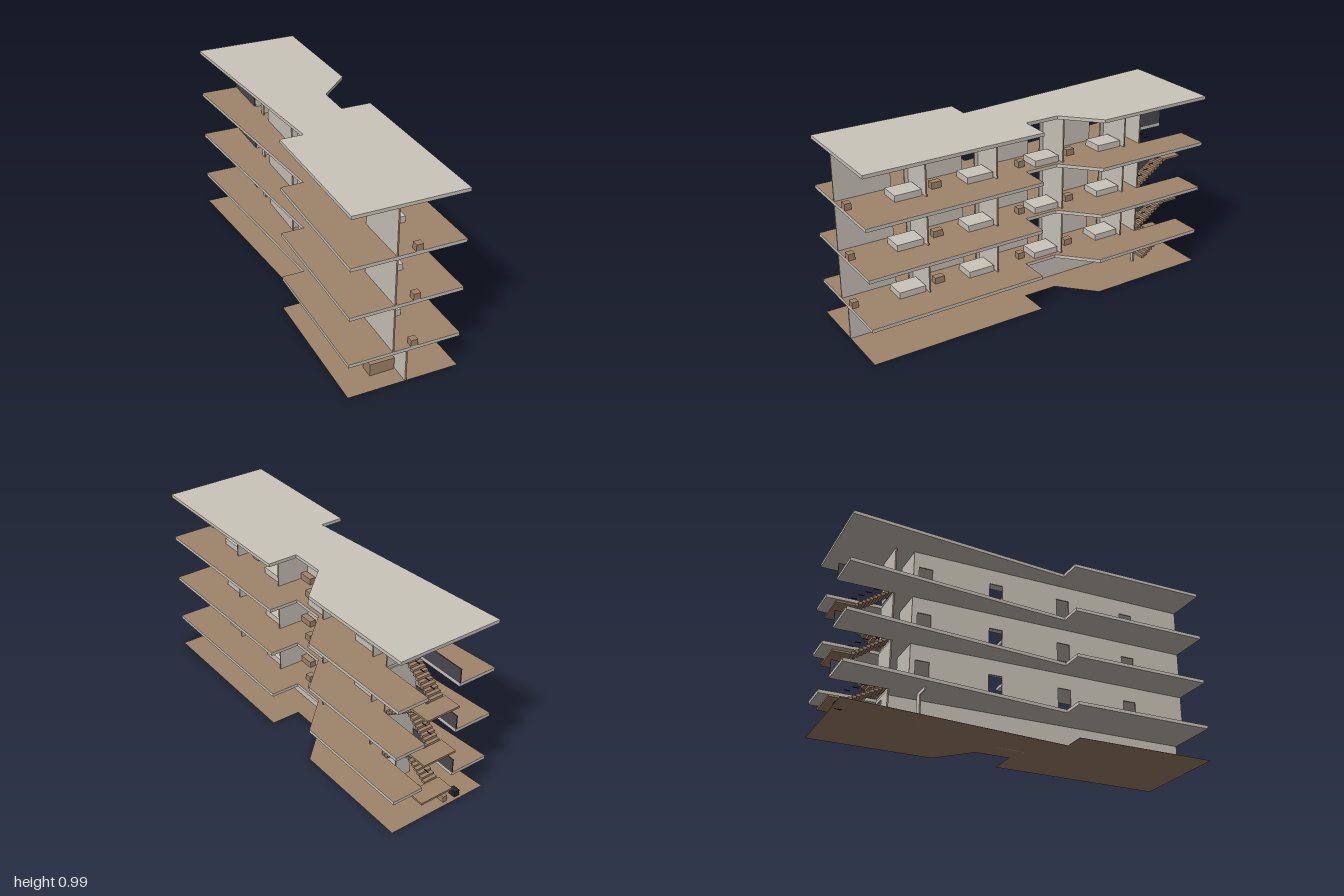
import * as THREE from 'three';

const mat = (name, color) => {
  const m = new THREE.MeshStandardMaterial({ color });
  m.name = name;
  return m;
};

export function createModel() {
  const root = new THREE.Group();
  root.name = 'apartmentBlock';
  const concrete = mat('concrete', 0xcbc5bb);
  const wood = mat('wood', 0xa0846a);
  const panel = mat('darkPanel', 0x4b4a50);
  const metal = mat('blackMetal', 0x25252a);

  // Box given by its limits on each axis
  const box = (parent, name, material, x0, x1, y0, y1, z0, z1) => {
    const mesh = new THREE.Mesh(new THREE.BoxGeometry(x1 - x0, y1 - y0, z1 - z0), material);
    mesh.position.set((x0 + x1) / 2, (y0 + y1) / 2, (z0 + z1) / 2);
    mesh.name = name;
    parent.add(mesh);
    return mesh;
  };
  const alongZ = [concrete, concrete, concrete, concrete, wood, wood]; // wooden end faces
  const alongX = [wood, wood, concrete, concrete, concrete, concrete];

  // Floor plan outline as [x, z]; floors have a stairwell cut into the back edge
  const plan = [[-0.3, 1], [0.29, 1], [0.283, 0.03], [0.12, 0.03], [0.12, -0.16], [0.298, -0.33], [0.292, -1]];
  const stairwell = [[0.12, -1], [0.12, -0.7], [-0.068, -0.7], [-0.068, -1]];
  const planEnd = [[-0.285, -1], [-0.175, 0.22], [-0.3, 0.22]];
  const makeShape = (cut) =>
    new THREE.Shape([...plan, ...(cut ? stairwell : []), ...planEnd].map(([x, z]) => new THREE.Vector2(x, -z)));
  const slab = (name, material, y, depth, cut) => {
    const geo = new THREE.ExtrudeGeometry(makeShape(cut), { depth, bevelEnabled: false });
    geo.rotateX(-Math.PI / 2);
    const mesh = new THREE.Mesh(geo, material);
    mesh.position.y = y;
    mesh.name = name;
    root.add(mesh);
  };

  const T = 0.018; // slab thickness
  const bottoms = [0.178, 0.443, 0.708, 0.972];
  slab('groundFloor', wood, 0, 0.001, false);
  bottoms.forEach((y, i) => {
    const isRoof = i === 3;
    slab(isRoof ? 'roofSlab' : 'floorSlab', concrete, y, T, !isRoof);
    if (isRoof) return;
    const geo = new THREE.ShapeGeometry(makeShape(true));
    geo.rotateX(-Math.PI / 2);
    const cover = new THREE.Mesh(geo, wood);
    cover.position.y = y + T + 0.001;
    cover.name = 'floorCovering';
    root.add(cover);
  });

  // Ground storey walls
  const G = 0.178;
  const DOOR = 0.161;
  const ground = new THREE.Group();
  ground.name = 'groundStorey';
  root.add(ground);
  box(ground, 'spineWall', alongZ, 0.001, 0.01, 0, G, -0.7, 1);
  box(ground, 'stairWall', alongX, -0.06, 0.032, 0, G, -0.706, -0.698);
  box(ground, 'stairWall', alongX, 0.102, 0.12, 0, G, -0.706, -0.698);
  box(ground, 'doorLintel', concrete, 0.032, 0.102, DOOR, G, -0.706, -0.698);
  box(ground, 'sideWall', alongX, -0.11, -0.07, 0, G, -0.558, -0.55);
  box(ground, 'doorLintel', concrete, -0.175, -0.11, DOOR, G, -0.558, -0.55);
  box(ground, 'receptionDesk', wood, -0.135, -0.003, 0, 0.067, 0.83, 0.9);
  box(ground, 'darkCrate', metal, -0.147, -0.115, 0, 0.034, -0.985, -0.945);
  box(ground, 'woodenCrate', wood, -0.07, -0.045, 0, 0.035, -0.98, -0.94);

  // Small furniture as [x centre, z0, z1]
  const boxes = [
    [0.043, 0.965, 1], [-0.038, 0.562, 0.598], [0.043, 0.485, 0.54], [-0.038, 0.112, 0.195],
    [0.043, 0, 0.038], [-0.038, -0.24, -0.204], [0.043, -0.31, -0.262],
  ];
  // Repeated upper storeys
  for (let i = 0; i < 3; i++) {
    const y = bottoms[i] + T;
    const top = bottoms[i + 1];
    const storey = new THREE.Group();
    storey.name = 'upperStorey';
    root.add(storey);
    let front = 1;
    for (const z of [0.6, 0.2, -0.2, -0.6]) {
      // Spine wall with a doorway beside each cross wall, and a bed in each room
      box(storey, 'spineWall', alongZ, -0.072, -0.064, y, top, z + 0.1, front);
      box(storey, 'doorLintel', concrete, -0.072, -0.064, y + DOOR + 0.002, top, z + 0.025, z + 0.1);
      front = z + 0.025;
      box(storey, 'crossWall', alongX, -0.064, 0.12, y, top, z - 0.004, z + 0.004);
      box(storey, 'bed', concrete, -0.012, 0.1, y, y + 0.035, z + 0.015, z + 0.16);
    }
    box(storey, 'spineWall', alongZ, -0.072, -0.064, y, top, -0.604, front);
    box(storey, 'stairWall', alongX, -0.068, 0.12, y, top, -0.706, -0.698);
    box(storey, 'stairGuard', panel, -0.074, -0.068, y, y + 0.078, -1, -0.704);
    for (const [x, z0, z1] of boxes) box(storey, 'cabinet', wood, x - 0.018, x + 0.018, y, y + 0.035, z0, z1);
  }

  // Two-flight stairs: up to the back landing, then forward to the next floor
  const stairs = (y0, yMid, y1, lowerSteps, upperSteps) => {
    const g = new THREE.Group();
    g.name = 'staircase';
    root.add(g);
    const flight = (x0, x1, from, to, steps, zEnd, railX) => {
      const run = (zEnd + 0.9) / steps;
      const rise = (to - from) / steps;
      for (let k = 0; k < steps; k++) {
        const y = from + rise * (k + 1);
        const up = railX < 0; // the upper flight climbs towards the front
        const z = up ? -0.9 + run * k : zEnd - run * (k + 1);
        box(g, 'step', wood, x0, x1, Math.max(y - rise * 1.25, 0), y, z, z + run);
        if (k % 2 === 0) {
          box(g, 'railPiece', metal, railX - 0.002, railX + 0.002, y + 0.055, y + 0.059, z - 0.005, z + 0.025);
        }
      }
    };
    flight(0.035, 0.115, y0, yMid, lowerSteps, y0 === 0 ? -0.77 : -0.712, 0.117);
    box(g, 'landing', wood, -0.08, 0.115, yMid - 0.011, yMid, -1, -0.9);
    flight(-0.066, 0.012, yMid, y1, upperSteps, -0.712, -0.004);
  };
  stairs(0, 0.093, 0.196, 7, 9);
  stairs(0.196, 0.3285, 0.461, 10, 10);
  stairs(0.461, 0.5935, 0.726, 10, 10);

  return root;
}
